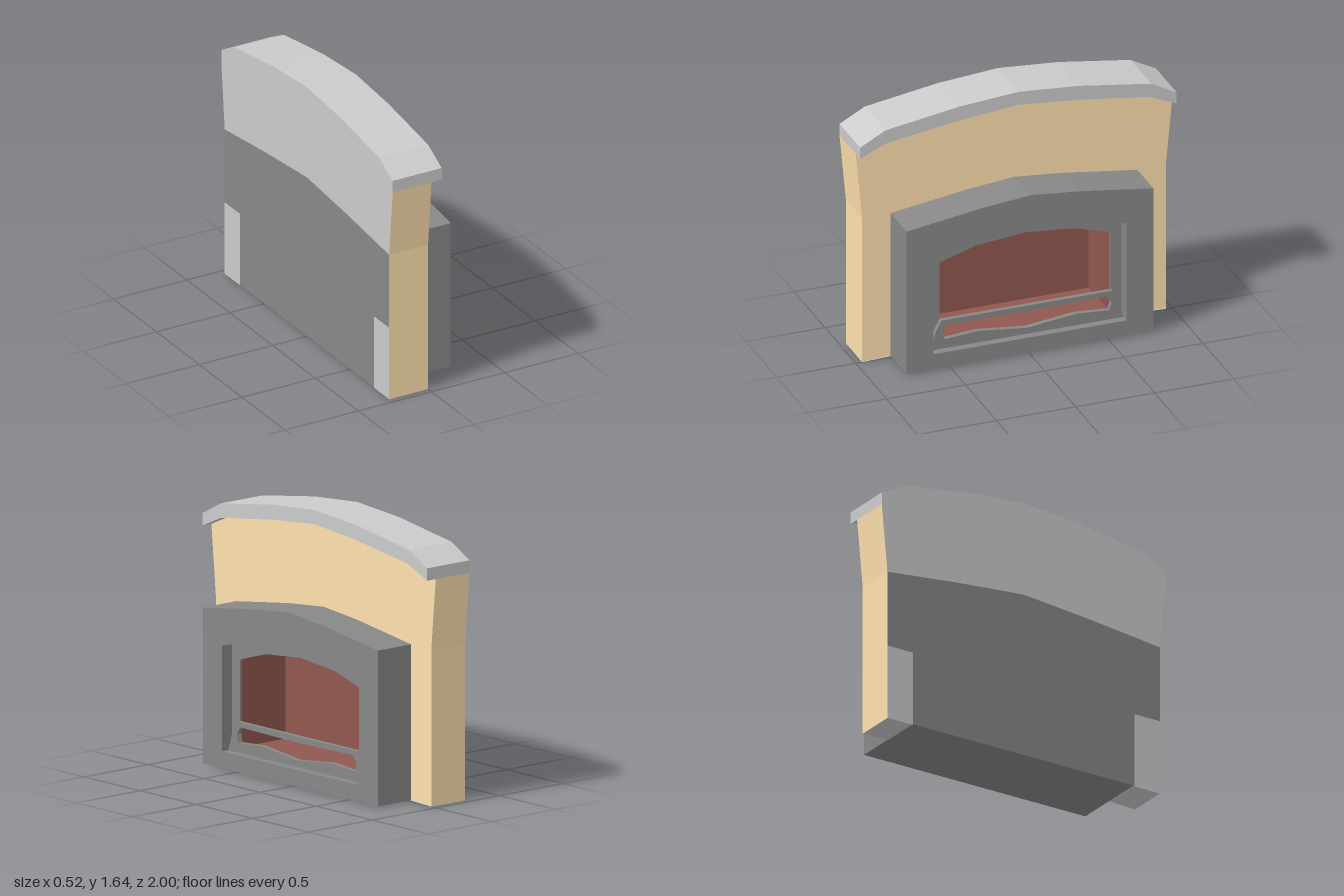
import * as THREE from 'three';

const material = (color) => new THREE.MeshStandardMaterial({ color, flatShading: true, side: THREE.DoubleSide });

// Mirror a half outline (right side, bottom to top) into a full symmetric one.
const mirror = (half) => [
  ...half,
  ...half.filter(([x]) => x > 0).reverse().map(([x, y]) => [-x, y]),
];

function makeShape(points, ...holes) {
  const toVec = (list) => list.map(([x, y]) => new THREE.Vector2(x, y));
  const shape = new THREE.Shape(toVec(points));
  holes.forEach((h) => shape.holes.push(new THREE.Path(toVec(h))));
  return shape;
}

// Strip swept straight from depth z0 to depth z1 along an open outline.
function strip(points, z0, z1) {
  const pos = [];
  for (let i = 0; i < points.length - 1; i++) {
    const [ax, ay] = points[i];
    const [bx, by] = points[i + 1];
    pos.push(ax, ay, z1, ax, ay, z0, bx, by, z0, ax, ay, z1, bx, by, z0, bx, by, z1);
  }
  const g = new THREE.BufferGeometry();
  g.setAttribute('position', new THREE.Float32BufferAttribute(pos, 3));
  g.computeVertexNormals();
  return g;
}

// Flat sheet at depth z, facing front or back.
function sheet(shape, z, facingBack = false) {
  const g = new THREE.ShapeGeometry(shape);
  if (facingBack) g.rotateY(Math.PI); // outlines are passed already mirrored
  return g.translate(0, 0, z);
}

const slab = (shape, z0, z1) =>
  new THREE.ExtrudeGeometry(shape, { depth: z1 - z0, bevelEnabled: false }).translate(0, 0, z0);

export function createModel() {
  const model = new THREE.Group();
  const fireplace = new THREE.Group();
  fireplace.name = 'fireplace';
  fireplace.rotation.y = Math.PI / 2; // fireplace opens toward +x
  model.add(fireplace);

  const grey = material(0xcccccc);
  const iron = material(0x888888);
  const plaster = material(0xffe1ae);
  const brick = material(0x90584f);
  const add = (name, geometry, mat) => {
    const mesh = new THREE.Mesh(geometry, mat);
    mesh.name = name;
    fireplace.add(mesh);
  };

  const BACK = -0.265;
  const mantelUnder = [[1, 1.38], [0.83, 1.455], [0.37, 1.52], [0, 1.555]];
  const mantelTop = [[1, 1.455], [0.84, 1.54], [0.38, 1.61], [0, 1.64]];
  const backArch = [[0.96, 0.95], [0.47, 1.005], [0, 1.047]];
  const recess = mirror([[0.61, 0.11], [0.61, 0.75], [0.31, 0.82], [0, 0.845]]);
  const ceilingHalf = [[0.54, 0.665], [0.31, 0.735], [0, 0.765]];

  // Arched mantel shelf
  const mantel = [...mirror(mantelTop), ...mirror(mantelUnder).reverse()];
  add('mantelShelf', slab(makeShape(mantel), BACK, 0.07), grey);

  // Chimney breast: front with the firebox cut out, and splayed sides
  const breast = mirror([[0.78, 0.01], [0.96, 0.004], [0.96, 0.95], ...mantelUnder]);
  add('breastFront', sheet(makeShape(breast, recess), 0), plaster);
  for (const s of [1, -1]) {
    const side = [[0.96, 0], [0.96, 0.95], [1, 1.38]].map(([x, y]) => [s * x, y]);
    add(s > 0 ? 'breastSideRight' : 'breastSideLeft', strip(s > 0 ? side : side.reverse(), BACK, 0), plaster);
  }

  // Back: upper panel, dark lower panel and light corner patches
  const upper = [...mirror([[0.96, 0.95], ...mantelUnder]), ...mirror(backArch).reverse().slice(1, -1)];
  add('upperBackPanel', sheet(makeShape(upper), BACK, true), grey);
  const lower = mirror([[0.78, 0.005], [0.78, 0.47], [0.96, 0.47], ...backArch]);
  add('lowerBackPanel', sheet(makeShape(lower), BACK, true), iron);
  for (const s of [1, -1]) {
    const patch = [[0.78, 0], [0.96, 0], [0.96, 0.47], [0.78, 0.47]].map(([x, y]) => [s * x, y]);
    add('backCornerPatch', sheet(makeShape(patch), BACK, true), grey);
    const foot = [[-0.96, 0], [-0.78, 0.006]].map(([x, y]) => [s * x, y]);
    add('footUnderside', strip(s > 0 ? foot.reverse() : foot, BACK, 0), grey);
  }
  add('breastUnderside', strip([[0.78, 0.008], [-0.78, 0.008]].reverse(), BACK, 0), iron);

  // Projecting surround with its arched opening
  const surround = mirror([[0.78, 0.01], [0.78, 0.95], [0.31, 1.017], [0, 1.047]]);
  add('surround', slab(makeShape(surround, recess), 0, 0.26), iron);

  // Recessed inner frame
  const frameHole = mirror([[0.54, 0.14], ...ceilingHalf]);
  add('innerFrame', slab(makeShape(recess, frameHole), 0.165, 0.18), iron);

  // Grate lip with a shaped slot
  const lip = mirror([[0.61, 0.11], [0.575, 0.23], [0.54, 0.295]]);
  const slot = mirror([[0, 0.15], [0.31, 0.185], [0.52, 0.17], [0.535, 0.22], [0.5, 0.265], [0, 0.258]]);
  add('grateLip', slab(makeShape(lip, slot), 0.18, 0.21), iron);

  // Firebox interior
  const FIRE_BACK = -0.175;
  const floorY = 0.135;
  add('fireboxBack', sheet(makeShape(mirror([[0.54, floorY], ...ceilingHalf])), FIRE_BACK), brick);
  add('fireboxWalls', strip([[-0.54, 0.665], [-0.54, floorY], [0.54, floorY], [0.54, 0.665]].reverse(), FIRE_BACK, 0.17), brick);
  add('fireboxCeiling', strip(mirror(ceilingHalf).reverse(), FIRE_BACK, 0.17), iron);

  return model;
}
